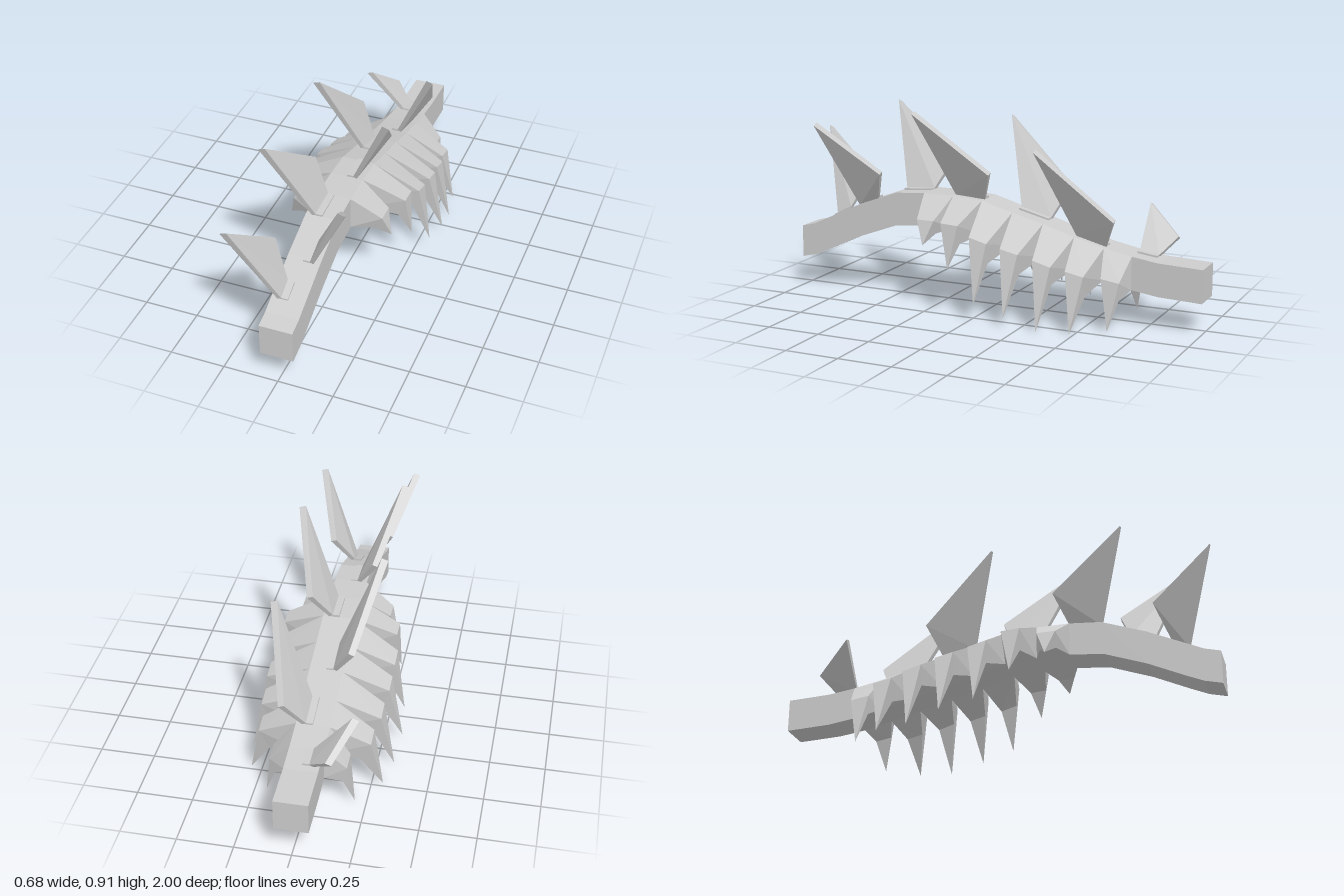
import * as THREE from 'three';
import { ConvexGeometry } from 'three/addons/geometries/ConvexGeometry.js';

const HALF = 0.075; // half width of the spine
const material = new THREE.MeshStandardMaterial({ color: 0xcccccc, flatShading: true });

// Spine stations from front to back: top z, top y, bottom z, bottom y
const stations = [
  [1, 0.297, 1, 0.145], [0.93, 0.315, 0.92, 0.165], [0.865, 0.345, 0.84, 0.2],
  [0.68, 0.43, 0.68, 0.275], [0.48, 0.503, 0.49, 0.345], [0.335, 0.515, 0.335, 0.362],
  [0.185, 0.515, 0.185, 0.362], [0.04, 0.505, 0.04, 0.352], [-0.11, 0.462, -0.11, 0.312],
  [-0.26, 0.425, -0.26, 0.275], [-0.41, 0.38, -0.41, 0.235], [-0.55, 0.345, -0.55, 0.2],
  [-0.68, 0.32, -0.68, 0.17], [-0.8, 0.303, -0.8, 0.153], [-1, 0.295, -1, 0.145],
];

// Ribs: elbow outer x, y, elbow inner x, y, tip x, y
const ribs = [
  [0.21, 0.42, 0.175, 0.355, 0.24, 0.31],
  [0.265, 0.425, 0.23, 0.335, 0.285, 0.225],
  [0.28, 0.37, 0.25, 0.275, 0.325, 0.09],
  [0.28, 0.335, 0.245, 0.24, 0.34, 0.05],
  [0.27, 0.295, 0.235, 0.21, 0.327, 0.005],
  [0.25, 0.26, 0.205, 0.165, 0.3, 0.005],
  [0.17, 0.225, 0.15, 0.145, 0.198, 0.005],
];

// Blades: tip z, y, rear corner z, y, base rear z, y, base front z, y
const blades = [
  [1, 0.745, 0.725, 0.54, 0.79, 0.385, 0.865, 0.345],
  [0.82, 0.825, 0.535, 0.6, 0.595, 0.465, 0.695, 0.425],
  [0.61, 0.895, 0.275, 0.65, 0.335, 0.515, 0.48, 0.505],
  [0.31, 0.91, -0.02, 0.64, 0.04, 0.51, 0.185, 0.518],
  [0.015, 0.86, -0.32, 0.57, -0.255, 0.428, -0.11, 0.465],
  [-0.28, 0.78, -0.615, 0.48, -0.55, 0.347, -0.41, 0.385],
  [-0.67, 0.505, -0.83, 0.38, -0.77, 0.31, -0.68, 0.322],
];

// Convex solid around a few corners
function solid(name, points) {
  const corners = points.map((p) => new THREE.Vector3(...p));
  const mesh = new THREE.Mesh(new ConvexGeometry(corners), material);
  mesh.name = name;
  return mesh;
}

// Square-section beam swept through the stations
function makeSpine() {
  const positions = [];
  const index = [];
  for (const [zt, yt, zb, yb] of stations) {
    positions.push(HALF, yt, zt, -HALF, yt, zt, -HALF, yb, zb, HALF, yb, zb);
  }
  for (let i = 0; i < stations.length - 1; i++) {
    for (let j = 0; j < 4; j++) {
      const a = i * 4 + j, b = i * 4 + (j + 1) % 4;
      index.push(a, a + 4, b, b, a + 4, b + 4);
    }
  }
  const e = (stations.length - 1) * 4;
  index.push(0, 1, 2, 0, 2, 3, e, e + 2, e + 1, e, e + 3, e + 2);
  const geometry = new THREE.BufferGeometry();
  geometry.setAttribute('position', new THREE.Float32BufferAttribute(positions, 3));
  geometry.setIndex(index);
  const flat = geometry.toNonIndexed();
  flat.computeVertexNormals();
  const mesh = new THREE.Mesh(flat, material);
  mesh.name = 'spine';
  return mesh;
}

// Tapered upper rib and a pointed lower half, bent at the elbow
function makeRib(k, side) {
  const [ox, oy, ix, iy, tx, ty] = ribs[k];
  const [z0, y0, , b0] = stations[k + 5];
  const [z1, y1, , b1] = stations[k + 6];
  const mid = (z0 + z1) / 2;
  const tilt = (y0 - y1) * 0.25;
  const s = (x, y, z) => [side * x, y, z];
  const root = [s(HALF, y0, z0), s(HALF, y1, z1), s(HALF, b0, z0), s(HALF, b1, z1)];
  const elbow = [
    s(ox, oy + tilt, mid + 0.042), s(ox, oy - tilt, mid - 0.042),
    s(ix, iy + tilt, mid + 0.036), s(ix, iy - tilt, mid - 0.036),
  ];
  const rib = new THREE.Group();
  rib.name = side > 0 ? 'leftRib' : 'rightRib';
  rib.add(solid('upperRib', [...root, ...elbow]));
  rib.add(solid('ribPoint', [...elbow, s(tx, ty, mid)]));
  return rib;
}

// Thin outward-leaning blade with a flat foot on the spine
function makeBlade(k) {
  const side = k % 2 ? 1 : -1;
  const [tz, ty, rz, ry, bz, by, fz, fy] = blades[k];
  const tipX = side > 0 ? 0.208 : 0.194;
  const outline = [[tipX, ty, tz, 0.03], [0.11, ry, rz, 0.026],
    [0.03, by, bz, 0.015], [0.03, fy, fz, 0.015]];
  const corners = [];
  for (const [x, y, z, thick] of outline) {
    corners.push([side * x, y + 0.004, z], [side * (x + thick), y - 0.006, z]);
  }
  const foot = [];
  for (const x of [0, 0.035]) {
    for (const [y, z] of [[by, bz], [fy, fz]]) {
      foot.push([side * x, y + 0.006, z], [side * x, y - 0.015, z]);
    }
  }
  const blade = new THREE.Group();
  blade.name = side > 0 ? 'leftBlade' : 'rightBlade';
  blade.add(solid('bladePlate', corners), solid('bladeFoot', foot));
  return blade;
}

export function createModel() {
  const model = new THREE.Group();
  model.name = 'spikedSpine';
  model.add(makeSpine());
  for (let k = 0; k < ribs.length; k++) {
    for (const side of [1, -1]) model.add(makeRib(k, side));
  }
  for (let k = 0; k < blades.length; k++) model.add(makeBlade(k));
  return model;
}
